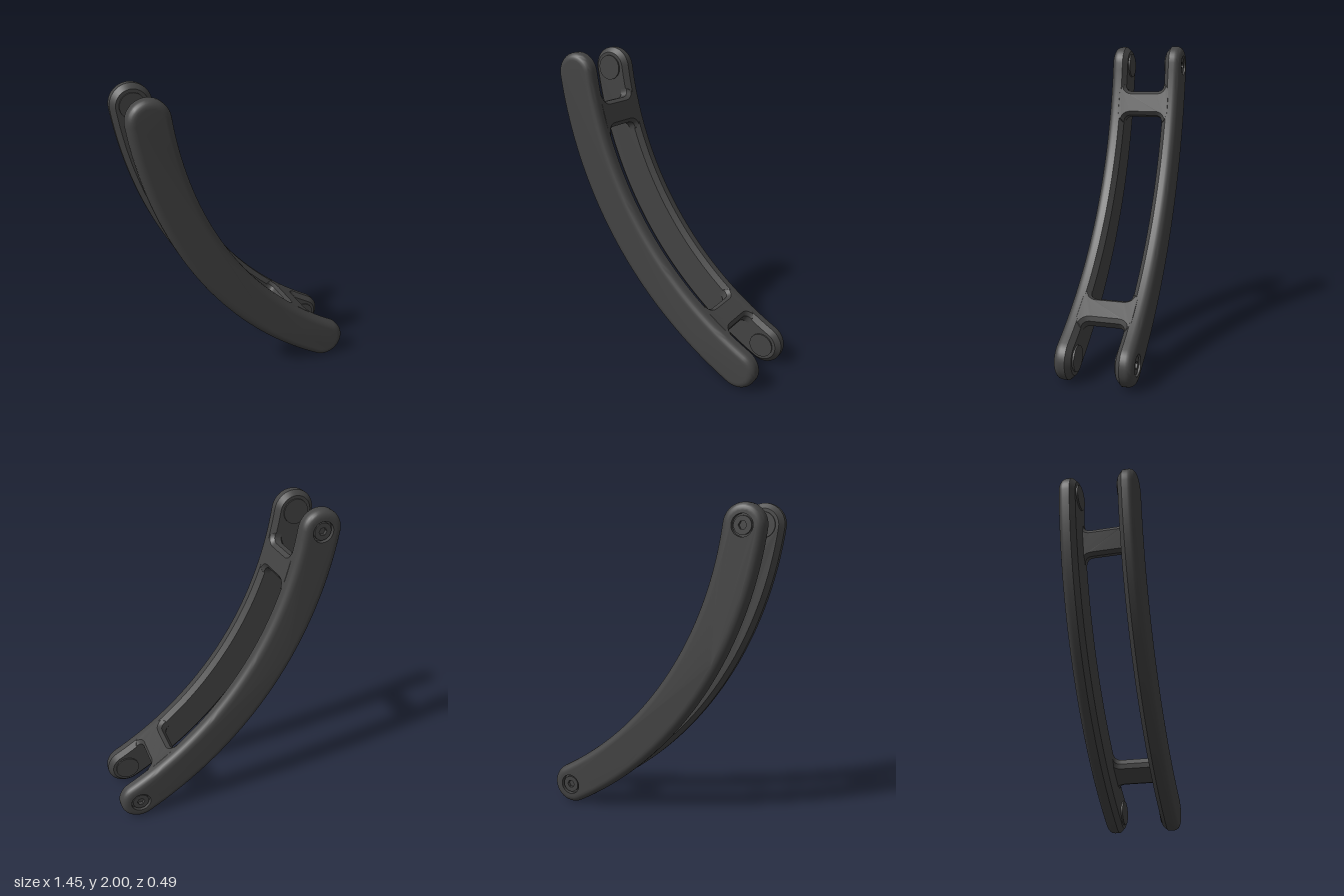
import * as THREE from 'three';
import { mergeGeometries, toCreasedNormals } from 'three/addons/utils/BufferGeometryUtils.js';

// Both arms follow one arc: centre, mid radius, end angles, half width
const CX = 1.723, CY = 2.187, R = 2.345, HALF = 0.13;
const A0 = THREE.MathUtils.degToRad(187.8), A1 = THREE.MathUtils.degToRad(241.2);
const Z_IN = 0.135, Z_OUT = 0.243, ROUND = 0.045, CHAMFER = 0.03;
const SCREW_R = 0.066;

const polar = (r, a) => new THREE.Vector2(CX + r * Math.cos(a), CY + r * Math.sin(a));
const ENDS = [polar(R, A0), polar(R, A1)];

// Round-ended arc outline, counter-clockwise, shrunk by inset
function outline(inset) {
  const w = HALF - inset, pts = [], n = 40, m = 20;
  const cap = (c, a) => {
    for (let i = 1; i < m; i++) {
      const t = a + (Math.PI * i) / m;
      pts.push(new THREE.Vector2(c.x + w * Math.cos(t), c.y + w * Math.sin(t)));
    }
  };
  for (let i = 0; i <= n; i++) pts.push(polar(R + w, A0 + ((A1 - A0) * i) / n));
  cap(ENDS[1], A1);
  for (let i = 0; i <= n; i++) pts.push(polar(R - w, A1 + ((A0 - A1) * i) / n));
  cap(ENDS[0], A0 + Math.PI);
  return pts;
}

function circlePath(c, r) {
  return new THREE.Path().absarc(c.x, c.y, r, 0, Math.PI * 2, true);
}

// Flat end face of an arm, optionally with screw holes
function face(inset, z, up, holes) {
  const shape = new THREE.Shape(outline(inset));
  if (holes) ENDS.forEach((c) => shape.holes.push(circlePath(c, SCREW_R)));
  const g = new THREE.ShapeGeometry(shape, 20).translate(0, 0, z);
  if (!up) g.setIndex(Array.from(g.index.array).reverse());
  return g;
}

// Arm: chamfered inner edge, rounded outer edge; side is +1 front, -1 back
function armGeometry(side) {
  let rings = [[Z_IN, CHAMFER], [Z_IN + CHAMFER, 0]];
  for (let i = 0; i <= 6; i++) {
    const t = (i / 6) * Math.PI / 2;
    rings.push([Z_OUT - ROUND + ROUND * Math.sin(t), ROUND * (1 - Math.cos(t))]);
  }
  if (side < 0) rings = rings.map(([z, inset]) => [-z, inset]).reverse();

  const pos = [], idx = [];
  let n = 0;
  rings.forEach(([z, inset], k) => {
    const pts = outline(inset);
    n = pts.length;
    pts.forEach((p) => pos.push(p.x, p.y, z));
    if (k === 0) return;
    for (let i = 0; i < n; i++) {
      const j = (i + 1) % n, a = (k - 1) * n, b = k * n;
      idx.push(a + i, a + j, b + j, a + i, b + j, b + i);
    }
  });
  const wall = new THREE.BufferGeometry();
  wall.setAttribute('position', new THREE.Float32BufferAttribute(pos, 3));
  wall.setIndex(idx);
  const first = rings[0], last = rings[rings.length - 1];
  const parts = [
    wall,
    face(first[1], first[0], false, side < 0),
    face(last[1], last[0], true, false),
  ].map((g) => {
    const flat = g.toNonIndexed();
    flat.deleteAttribute('uv');
    flat.deleteAttribute('normal');
    return flat;
  });
  const merged = mergeGeometries(parts);
  merged.computeVertexNormals();
  return toCreasedNormals(merged, 0.6);
}

// Crossbar: flared at both arms, chamfered, bent onto the arc around angle a
function barGeometry(a) {
  const h = 0.083, f = 0.05, end = 0.195, s = new THREE.Shape();
  s.moveTo(h, -Z_IN + f);
  s.lineTo(h, Z_IN - f);
  s.quadraticCurveTo(h, Z_IN, h + f, Z_IN);
  s.lineTo(h + f, end);
  s.lineTo(-h - f, end);
  s.lineTo(-h - f, Z_IN);
  s.quadraticCurveTo(-h, Z_IN, -h, Z_IN - f);
  s.lineTo(-h, -Z_IN + f);
  s.quadraticCurveTo(-h, -Z_IN, -h - f, -Z_IN);
  s.lineTo(-h - f, -end);
  s.lineTo(h + f, -end);
  s.lineTo(h + f, -Z_IN);
  s.quadraticCurveTo(h, -Z_IN, h, -Z_IN + f);
  const bevel = 0.022;
  const g = new THREE.ExtrudeGeometry(s, {
    depth: 0.09 - 2 * bevel, curveSegments: 8,
    bevelThickness: bevel, bevelSize: bevel, bevelOffset: -bevel, bevelSegments: 1,
  });
  const p = g.attributes.position, inner = R - HALF + 0.001;
  for (let i = 0; i < p.count; i++) {
    const q = polar(inner + bevel + p.getZ(i), a + p.getX(i) / inner);
    p.setXYZ(i, q.x, q.y, p.getY(i));
  }
  g.computeVertexNormals();
  return toCreasedNormals(g, 0.5);
}

// Screw head with a hexagonal socket
function screwGeometry() {
  const s = new THREE.Shape().absarc(0, 0, SCREW_R - 0.012, 0, Math.PI * 2, false);
  const hex = [];
  for (let i = 0; i < 6; i++) {
    const t = (-i * Math.PI) / 3;
    hex.push(new THREE.Vector2(0.026 * Math.cos(t), 0.026 * Math.sin(t)));
  }
  s.holes.push(new THREE.Path(hex));
  return new THREE.ExtrudeGeometry(s, { depth: 0.022, bevelEnabled: false, curveSegments: 24 });
}

export function createModel() {
  const group = new THREE.Group();
  const mat = new THREE.MeshStandardMaterial({ color: 0x444444 });
  const thin = new THREE.MeshStandardMaterial({ color: 0x444444, side: THREE.DoubleSide });
  const add = (name, geo, x = 0, y = 0, z = 0, m = mat) => {
    const mesh = new THREE.Mesh(geo, m);
    mesh.name = name;
    mesh.position.set(x, y, z);
    group.add(mesh);
  };

  add('frontArm', armGeometry(1));
  add('backArm', armGeometry(-1));

  // Crossbars, the same distance from either end
  const step = THREE.MathUtils.degToRad(7.2);
  add('upperCrossbar', barGeometry(A0 + step));
  add('lowerCrossbar', barGeometry(A1 - step));

  const boss = new THREE.CylinderGeometry(0.08, 0.08, 0.02, 40).rotateX(Math.PI / 2);
  const wall = new THREE.CylinderGeometry(SCREW_R, SCREW_R, 0.03, 40, 1, true).rotateX(Math.PI / 2);
  const floor = new THREE.CircleGeometry(SCREW_R, 40);
  const screw = screwGeometry();
  ENDS.forEach((c, i) => {
    const end = i ? 'lower' : 'upper';
    // Raised pivot pads on the facing sides of the arms
    add(end + 'FrontPad', boss, c.x, c.y, Z_IN);
    add(end + 'BackPad', boss, c.x, c.y, -Z_IN);
    // Recessed screws in the back arm
    add(end + 'ScrewRecess', wall, c.x, c.y, -Z_OUT + 0.015, thin);
    add(end + 'ScrewRecessFloor', floor, c.x, c.y, -Z_OUT + 0.03, thin);
    add(end + 'Screw', screw, c.x, c.y, -Z_OUT + 0.008);
  });
  return group;
}
